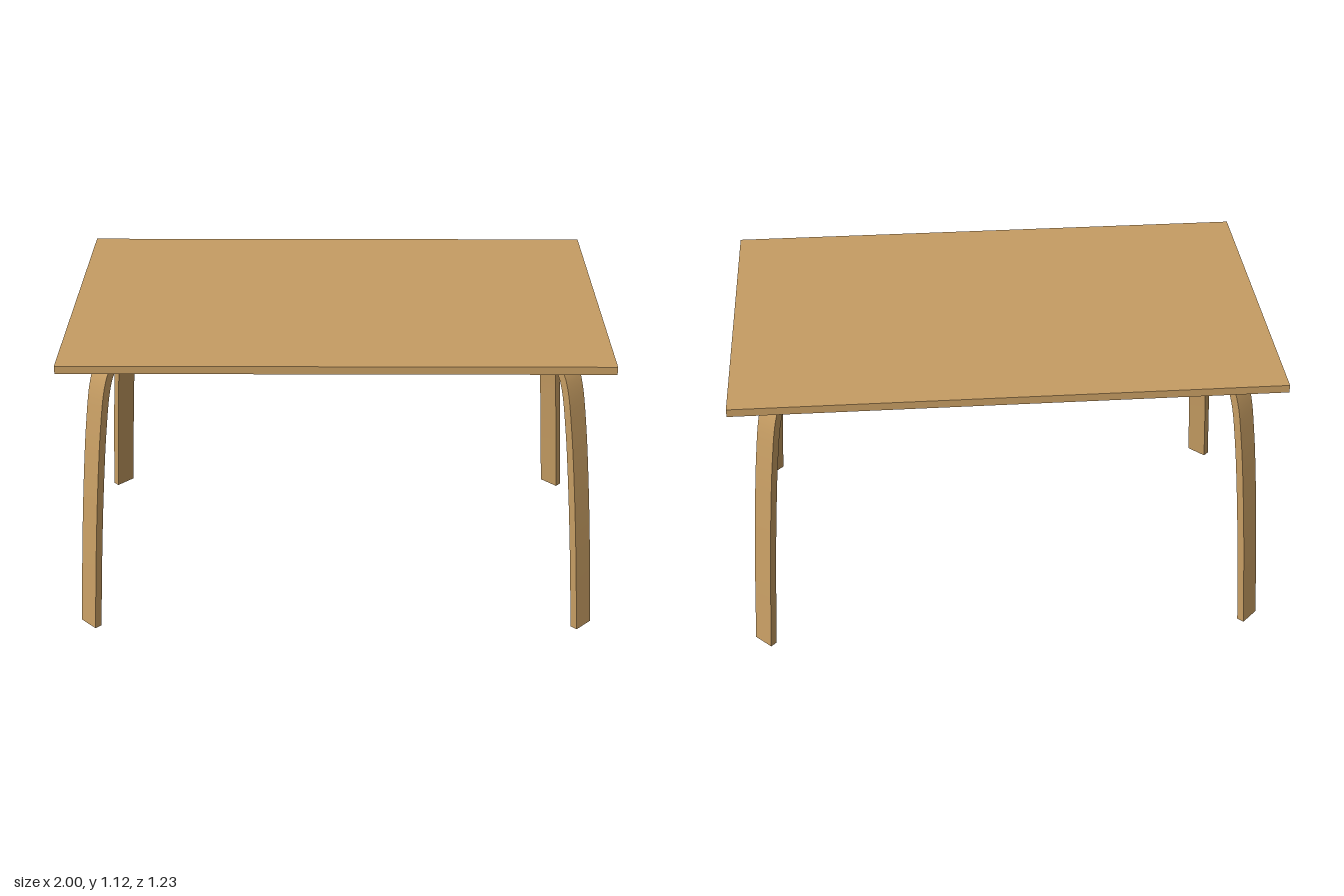
import * as THREE from 'three';
import { toCreasedNormals } from 'three/addons/utils/BufferGeometryUtils.js';

const THICK = 0.029, WIDTH = 0.085;

// Bent strip: an offset centreline, extruded across the leg's width
function legGeometry() {
  const curve = new THREE.CatmullRomCurve3([
    [0.295, 0], [0.263, 0.35], [0.236, 0.6], [0.207, 0.82], [0.177, 0.98],
    [0.153, 1.038], [0.118, 1.07], [0.07, 1.08], [0, 1.08],
  ].map(([x, y]) => new THREE.Vector3(x, y, 0)), false, 'centripetal');
  const n = 40, outer = [], inner = [];
  for (let i = 0; i <= n; i++) {
    const p = curve.getPoint(i / n), t = curve.getTangent(i / n);
    // Square the two ends to the floor and to the inner end face
    if (i === 0) t.set(0, 1, 0);
    if (i === n) t.set(-1, 0, 0);
    const h = THICK / 2;
    outer.push(new THREE.Vector2(p.x + t.y * h, Math.min(p.y - t.x * h, 1.095)));
    inner.unshift(new THREE.Vector2(p.x - t.y * h, p.y + t.x * h));
  }
  const geo = new THREE.ExtrudeGeometry(new THREE.Shape([...outer, ...inner]),
    { depth: WIDTH, bevelEnabled: false });
  geo.translate(0, 0, -WIDTH / 2);
  return toCreasedNormals(geo, 0.6);
}

export function createModel() {
  const model = new THREE.Group();
  model.name = 'table';
  const wood = new THREE.MeshStandardMaterial({ color: 0xc69d63 });
  wood.name = 'light wood';

  // Flat rectangular top
  const top = new THREE.Mesh(new THREE.BoxGeometry(2, 0.03, 1.226), wood);
  top.name = 'tableTop';
  top.position.y = 1.11;
  model.add(top);

  // Four bent legs, splayed diagonally toward the corners
  const geo = legGeometry();
  for (const sx of [1, -1]) for (const sz of [1, -1]) {
    const leg = new THREE.Mesh(geo, wood);
    leg.name = (sz > 0 ? 'front' : 'back') + (sx > 0 ? 'Left' : 'Right') + 'Leg';
    leg.position.set(sx * 0.737, 0, sz * 0.35);
    leg.rotation.y = Math.atan2(-sz, sx);
    model.add(leg);
  }
  return model;
}
